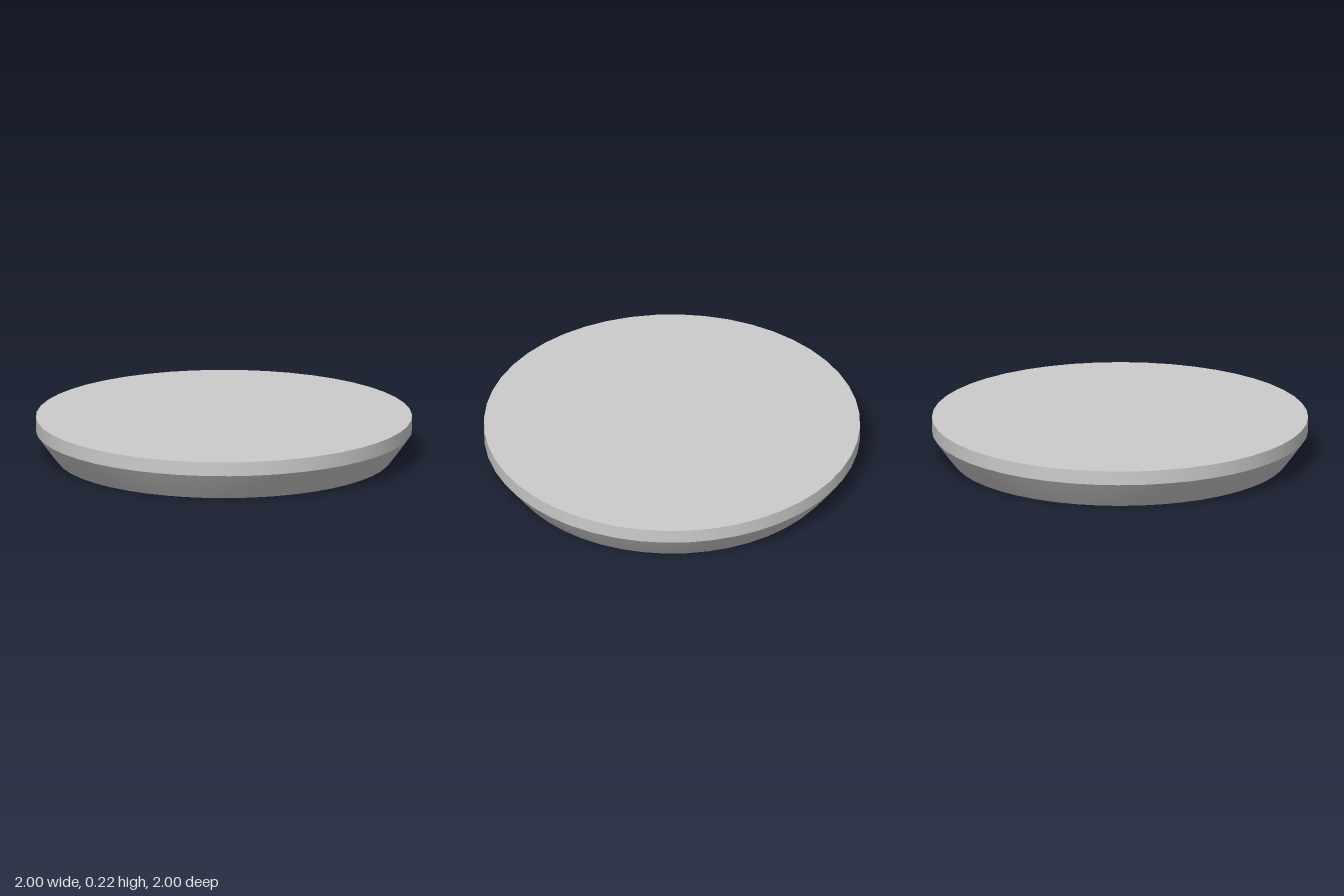
import * as THREE from 'three';

const SEGMENTS = 48;
const TOOTH = 0.148; // groove depth
const HEIGHT = 0.224;
const RADII = [0.43, 0.765 - 0.145, 0.765, 0.89, 1]; // groove edges, centre outwards

export function createModel() {
  const group = new THREE.Group();
  const lensGrey = new THREE.MeshStandardMaterial({ color: 0xcccccc });
  lensGrey.name = 'lensGrey';

  // Each smooth band is its own lathe, so the edges between bands stay sharp
  const addBand = (name, points) => {
    const profile = points.map(([r, y]) => new THREE.Vector2(r, y));
    const mesh = new THREE.Mesh(new THREE.LatheGeometry(profile, SEGMENTS), lensGrey);
    mesh.name = name;
    group.add(mesh);
  };

  // Parabolic arc rising from (r0, y0) to (r1, y1)
  const arc = (r0, y0, r1, y1, steps) =>
    Array.from({ length: steps + 1 }, (_, i) => {
      const r = r0 + ((r1 - r0) * i) / steps;
      return [r, y0 + ((y1 - y0) * (r * r - r0 * r0)) / (r1 * r1 - r0 * r0)];
    });

  // Central convex lens bulging downwards
  addBand('centreLens', arc(0, 0.01, RADII[0], TOOTH, 10));

  // Stepped rings: an upright inner wall, then a sloping outer face
  for (let i = 0; i < RADII.length - 1; i++) {
    addBand(`ringWall${i + 1}`, [[RADII[i], TOOTH], [RADII[i], 0]]);
    addBand(`ringSlope${i + 1}`, arc(RADII[i], 0, RADII[i + 1], TOOTH, 4));
  }

  // Outer rim and flat top
  addBand('rim', [[1, TOOTH], [1, HEIGHT]]);
  addBand('topFace', [[1, HEIGHT], [0, HEIGHT]]);

  return group;
}
